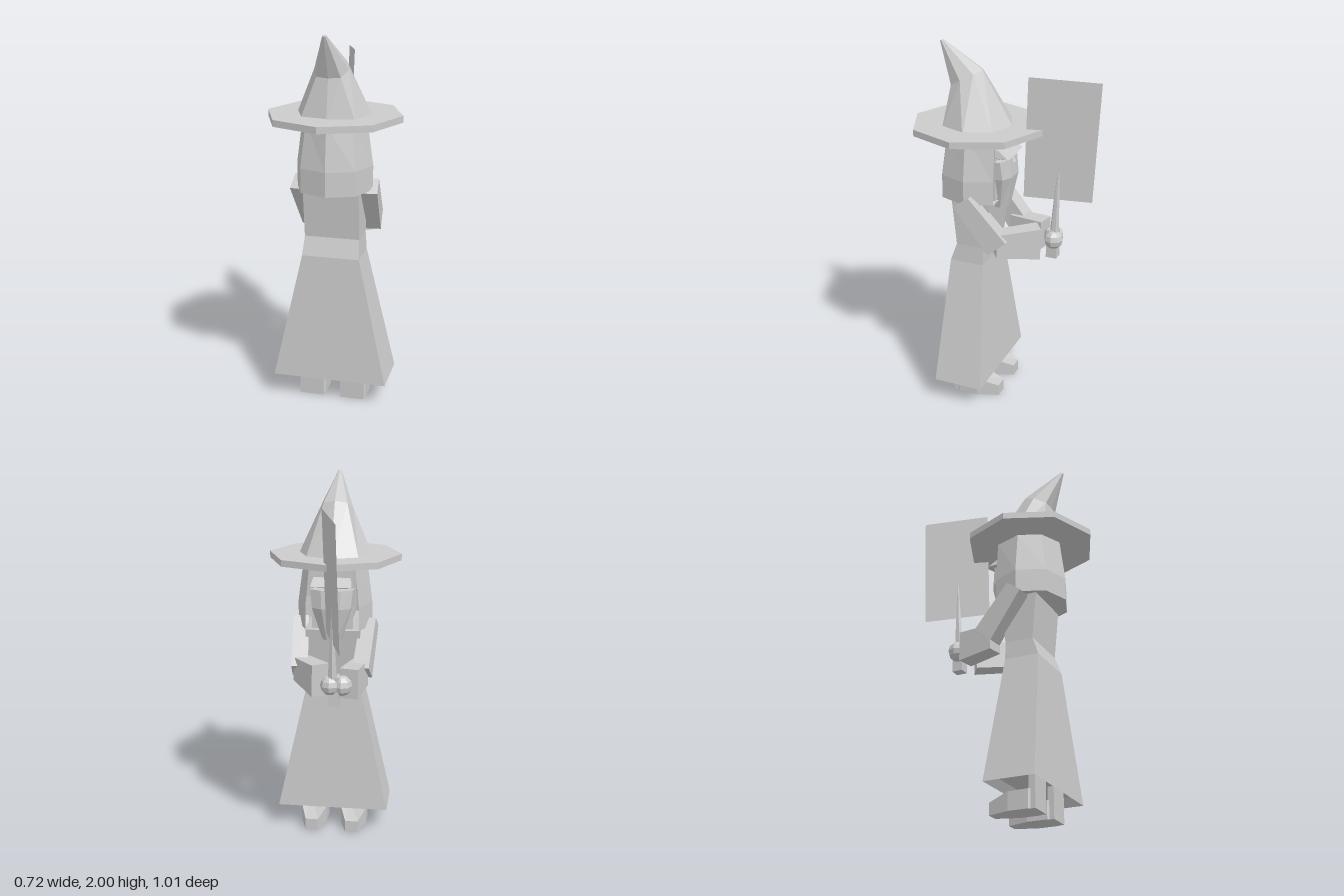
import * as THREE from 'three';

const material = new THREE.MeshStandardMaterial({ color: 0xcccccc, flatShading: true, side: THREE.DoubleSide });

// Skin a list of equal-length point rings; optionally cap both ends.
function loft(rings, { caps = true, closed = true } = {}) {
  const n = rings[0].length, pos = [];
  const tri = (...pts) => pts.forEach(p => pos.push(...p));
  for (let r = 0; r + 1 < rings.length; r++) {
    for (let i = 0; i < (closed ? n : n - 1); i++) {
      const j = (i + 1) % n, a = rings[r], b = rings[r + 1];
      tri(a[i], a[j], b[j]);
      tri(a[i], b[j], b[i]);
    }
  }
  if (caps) {
    const first = rings[0], last = rings[rings.length - 1];
    for (let i = 1; i < n - 1; i++) {
      tri(first[0], first[i + 1], first[i]);
      tri(last[0], last[i], last[i + 1]);
    }
  }
  const geo = new THREE.BufferGeometry();
  geo.setAttribute('position', new THREE.Float32BufferAttribute(pos, 3));
  geo.computeVertexNormals();
  return geo;
}

// Rectangle at height y, counter-clockwise from above.
const rect = (y, hx, zBack, zFront) => [[hx, y, zBack], [hx, y, zFront], [-hx, y, zFront], [-hx, y, zBack]];

// Octagon with a flattened rear corner; tilt raises the -z side.
function octagon(y, z, r, rear, tilt = 0) {
  return Array.from({ length: 8 }, (_, i) => {
    const a = i * Math.PI / 4, s = Math.sin(a);
    const dz = i === 6 ? rear : -r * s;
    return [r * Math.cos(a), y - dz * tilt, z + dz];
  });
}

// Square-section limb; each end has width (sideways) and height.
function limb(a, b, [w0, h0], [w1, h1]) {
  const A = new THREE.Vector3(...a), B = new THREE.Vector3(...b);
  const dir = B.clone().sub(A).normalize();
  const side = new THREE.Vector3(0, 1, 0).cross(dir).normalize();
  const up = dir.clone().cross(side);
  const ring = (c, w, h) => [[-1, -1], [1, -1], [1, 1], [-1, 1]].map(([u, v]) =>
    c.clone().addScaledVector(side, u * w / 2).addScaledVector(up, v * h / 2).toArray());
  return loft([ring(A, w0, h0), ring(B, w1, h1)]);
}

export function createModel() {
  const model = new THREE.Group();
  const add = (name, geo, x = 0, y = 0, z = 0) => {
    const mesh = new THREE.Mesh(geo, material);
    mesh.name = name;
    mesh.position.set(x, y, z);
    model.add(mesh);
    return mesh;
  };

  // Robe with a recessed underside
  add('robe', loft([
    rect(0.17, 0.27, 0.26, 0.04), rect(0.125, 0.31, 0.29, 0.015), rect(0.82, 0.155, 0.25, 0.06),
    rect(0.92, 0.148, 0.215, 0.06), rect(1.18, 0.15, 0.24, 0.02), rect(1.24, 0.12, 0.22, 0.04),
  ]));

  // Hat
  const brim = new THREE.CylinderGeometry(0.36, 0.36, 0.035, 8);
  add('hatBrim', brim, 0, 1.5625, 0.145);
  add('hatCrown', loft([
    octagon(1.56, 0.145, 0.205, 0.178),
    octagon(1.815, 0.207, 0.09, 0.072, 0.52),
    octagon(1.996, 0.347, 0.01, 0.009, 0.4),
  ]));

  // Hair wraps the back and sides of the head
  const hairRing = (y, k, back) => [
    [0.145 * k, y, 0], [0.205 * k, y, 0.145], [0.145 * k, y, back - 0.055], [0, y, back],
    [-0.145 * k, y, back - 0.055], [-0.205 * k, y, 0.145], [-0.145 * k, y, 0],
  ];
  add('hair', loft([hairRing(1.18, 1, 0.35), hairRing(1.31, 1, 0.35), hairRing(1.55, 0.84, 0.32)],
    { closed: false }));
  add('face', new THREE.BoxGeometry(0.22, 0.36, 0.2), 0, 1.37, 0.105);

  // Beard, brow and nose
  const beardRing = (y, w, z) => [
    [w, y, 0.03], [w * 0.95, y, z + 0.03], [w * 0.45, y, z],
    [-w * 0.45, y, z], [-w * 0.95, y, z + 0.03], [-w, y, 0.03],
  ];
  add('beard', loft([beardRing(1.13, 0.055, -0.03), beardRing(1.31, 0.11, -0.065), beardRing(1.41, 0.12, -0.055)]));
  add('brow', loft([rect(1.42, 0.09, 0.02, -0.03), rect(1.43, 0.11, 0.02, -0.065), rect(1.47, 0.1, 0.02, -0.01)]));
  const nose = new THREE.ConeGeometry(0.03, 0.07, 4);
  add('nose', nose, 0, 1.42, -0.04);

  // Arms meet in front of the chest; the two forearms differ slightly
  for (const s of [1, -1]) {
    const side = s > 0 ? 'left' : 'right';
    add(side + 'UpperArm', limb([s * 0.19, 1.2, 0.15], [s * 0.17, 0.96, -0.04], [0.085, 0.1], [0.09, 0.13]));
  }
  add('leftForearm', limb([0.17, 0.97, -0.02], [0.035, 0.965, -0.215], [0.09, 0.13], [0.1, 0.175]));
  add('rightForearm', limb([-0.155, 0.95, 0], [-0.115, 0.945, -0.2], [0.09, 0.14], [0.1, 0.165]));
  add('leftHand', new THREE.SphereGeometry(0.052, 8, 6), -0.025, 0.96, -0.28);
  add('rightHand', new THREE.SphereGeometry(0.055, 8, 6), -0.085, 0.955, -0.26);

  // Tapered wand with a square grip
  const wand = add('wand', new THREE.CylinderGeometry(0.003, 0.027, 0.42, 6), -0.038, 1.19, -0.288);
  wand.rotation.x = -0.04;
  add('wandGrip', new THREE.BoxGeometry(0.055, 0.16, 0.06), -0.045, 0.93, -0.27);

  // Thin upright sheet above the wand
  add('sheet', loft([
    [[-0.097, 1.175, -0.467], [0.015, 1.2, -0.12]],
    [[-0.08, 1.835, -0.503], [0.035, 1.86, -0.148]],
  ], { caps: false, closed: false }));

  // Shoes with pointed-off toes, and ankles
  for (const s of [1, -1]) {
    const side = s > 0 ? 'left' : 'right';
    const sole = [[0.04, 0.235], [0.073, 0.2], [0.073, 0.09], [0.035, -0.03], [-0.035, -0.03], [-0.073, 0.09],
      [-0.073, 0.2], [-0.04, 0.235]];
    const shoeTop = z => (z > 0.1 ? 0.1 : z > 0 ? 0.098 : 0.065);
    add(side + 'Shoe', loft([
      sole.map(([x, z]) => [x + s * 0.114, 0, z]),
      sole.map(([x, z]) => [x + s * 0.114, shoeTop(z), z]),
    ]));
    add(side + 'Ankle', new THREE.BoxGeometry(0.13, 0.18, 0.035), s * 0.114, 0.09, 0.217);
  }

  return model;
}
